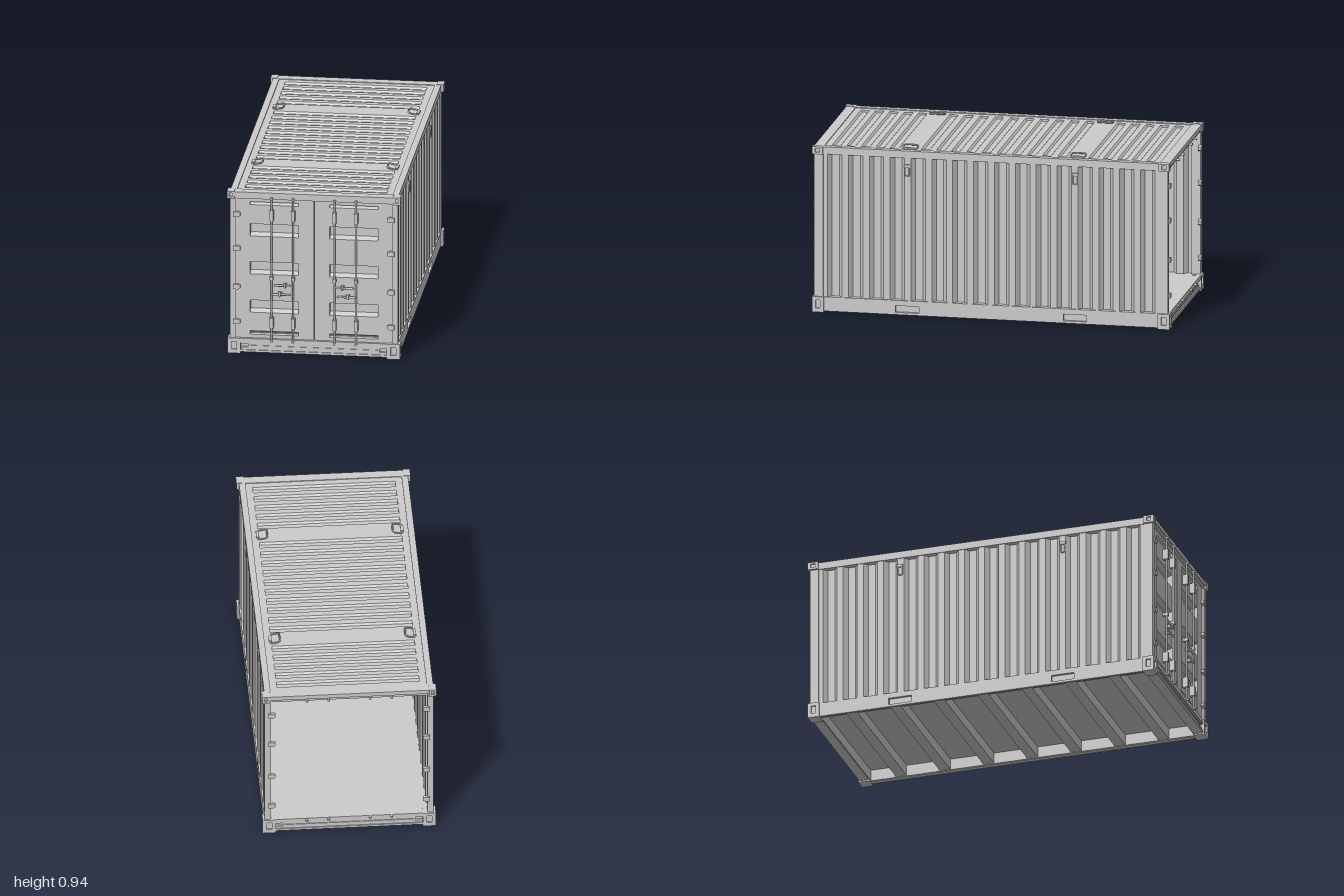
import * as THREE from 'three';

const mat = new THREE.MeshStandardMaterial({ color: 0xcccccc, side: THREE.DoubleSide });
const V = (x, y, z) => new THREE.Vector3(x, y, z);
const X = V(1, 0, 0), Y = V(0, 1, 0), Z = V(0, 0, 1);

function add(parent, name, geo, x = 0, y = 0, z = 0) {
  const m = new THREE.Mesh(geo, mat);
  m.name = name;
  m.position.set(x, y, z);
  parent.add(m);
  return m;
}

// Box given by its limits
function box(parent, name, x0, x1, y0, y1, z0, z1) {
  return add(parent, name, new THREE.BoxGeometry(Math.abs(x1 - x0), Math.abs(y1 - y0), Math.abs(z1 - z0)),
    (x0 + x1) / 2, (y0 + y1) / 2, (z0 + z1) / 2);
}

function rectPath(C, x0, x1, y0, y1) {
  return new C([[x0, y0], [x1, y0], [x1, y1], [x0, y1]].map(p => new THREE.Vector2(...p)));
}

// Flat plate in the xy plane with rectangular holes [x0, x1, y0, y1]
function holedPlate(x0, x1, y0, y1, t, holes) {
  const s = rectPath(THREE.Shape, x0, x1, y0, y1);
  s.holes = holes.map(h => rectPath(THREE.Path, ...h));
  return new THREE.ExtrudeGeometry(s, { depth: t, bevelEnabled: false });
}

// Folded sheet: profile points thickened by t, extruded and turned onto the given axes
function foldedSheet(pts, t, length, ax, ay, az) {
  const s = new THREE.Shape([...pts, ...pts.slice().reverse().map(([u, v]) => [u, v - t])]
    .map(p => new THREE.Vector2(...p)));
  const g = new THREE.ExtrudeGeometry(s, { depth: length, bevelEnabled: false });
  g.translate(0, 0, -length / 2);
  return g.applyMatrix4(new THREE.Matrix4().makeBasis(ax, ay, az));
}

// Corner casting: core with slotted plates on the outer faces
function casting(parent, sx, sz, x0, x1, y0, y1, z0, z1) {
  const g = new THREE.Group(), t = 0.01;
  g.name = 'cornerCasting';
  parent.add(g);
  const w = x1 - x0, d = z1 - z0, h = y1 - y0;
  box(g, 'castingCore', sx * x0, sx * (x1 - t), y0, y1, sz * z0, sz * (z1 - t));
  const face = l => holedPlate(-l / 2, l / 2, 0, h, t, [[-l * 0.2, l * 0.2, h * 0.26, h * 0.78]]);
  add(g, 'castingEnd', face(w), sx * (x0 + x1) / 2, y0, sz > 0 ? z1 - t : -z1);
  add(g, 'castingSide', face(d).rotateY(Math.PI / 2), sx > 0 ? x1 - t : -x1, y0, sz * (z0 + z1) / 2);
}

// Tie ring: closed rounded loop in the xy plane
function ring(w, h, r) {
  const a = w / 2, b = h / 2, c = Math.min(a, b) * 0.35;
  const p = [[a, c - b], [a, b - c], [a - c, b], [c - a, b], [-a, b - c], [-a, c - b], [c - a, -b], [a - c, -b]];
  const path = new THREE.CurvePath();
  p.forEach((q, i) => path.add(new THREE.LineCurve3(V(...q, 0), V(...p[(i + 1) % 8], 0))));
  return new THREE.TubeGeometry(path, 48, r, 6, true);
}

// One long side: pleated wall, rails and rings
function side() {
  const g = new THREE.Group();
  g.name = 'side';
  const n = 16, step = 1.85 / n, pts = [[-0.935, 0.455]];
  for (let i = 0; i < n; i++) {
    const c = (i + 0.5) * step - 0.925;
    pts.push([c - 0.04, 0.455], [c - 0.02, 0.427], [c + 0.02, 0.427], [c + 0.04, 0.455]);
  }
  pts.push([0.935, 0.455]);
  add(g, 'pleatedWall', foldedSheet(pts, 0.005, 0.81, Z, X, Y), 0, 0.485, 0);
  box(g, 'topRail', 0.425, 0.46, 0.885, 0.925, -0.94, 0.94);
  const pockets = [-1, 1].map(s => [s * 0.465 - 0.065, s * 0.465 + 0.065, 0.018, 0.055]);
  add(g, 'bottomRail', holedPlate(-0.94, 0.94, 0.005, 0.085, 0.015, pockets).rotateY(Math.PI / 2), 0.445, 0, 0);
  box(g, 'railBacking', 0.425, 0.445, 0.01, 0.085, -0.94, 0.94);
  for (const z of [-0.465, 0.465]) {
    add(g, 'sideRing', ring(0.024, 0.06, 0.004).rotateY(Math.PI / 2), 0.459, 0.815, z);
    box(g, 'ringLug', 0.45, 0.463, 0.832, 0.848, z - 0.016, z + 0.016);
  }
  return g;
}

// End frame: posts, header, slotted sill, hinges and rod sockets
function endFrame() {
  const g = new THREE.Group();
  g.name = 'endFrame';
  box(g, 'header', -0.44, 0.44, 0.9, 0.924, 0.93, 0.985);
  box(g, 'headerLip', -0.44, 0.44, 0.885, 0.9, 0.93, 0.978);
  add(g, 'sill', holedPlate(-0.41, 0.41, 0.02, 0.06, 0.012, [[-0.405, -0.36, 0.034, 0.054], [0.36, 0.405, 0.034, 0.054]]), 0, 0, 0.966);
  box(g, 'sillCore', -0.41, 0.41, 0.01, 0.085, 0.925, 0.966);
  box(g, 'sillLip', -0.41, 0.41, 0.06, 0.085, 0.966, 0.984);
  box(g, 'sillFoot', -0.41, 0.41, 0.008, 0.02, 0.93, 0.984);
  box(g, 'sillRib', -0.35, 0.35, 0.039, 0.046, 0.97, 0.982);
  for (const s of [-1, 1]) {
    box(g, 'cornerPost', s * 0.427, s * 0.46, 0.08, 0.89, 0.93, 0.98);
    casting(g, s, 1, 0.4, 0.472, 0, 0.086, 0.925, 0.99);
    casting(g, s, 1, 0.435, 0.474, 0.885, 0.927, 0.93, 0.99);
    // hinge leaves taper towards the doors
    const leaf = new THREE.Shape([[0.44, -0.014], [0.44, 0.014], [0.412, 0.014], [0.402, 0.008], [0.402, -0.008], [0.412, -0.014]]
      .map(([x, y]) => new THREE.Vector2(s * x, y)));
    for (const y of [0.18, 0.38, 0.6, 0.795])
      add(g, 'hinge', new THREE.ExtrudeGeometry(leaf, { depth: 0.018, bevelEnabled: false }), 0, y, 0.97);
    for (const x of [0.113, 0.231]) for (const y of [0.077, 0.894])
      add(g, 'rodSocket', new THREE.CylinderGeometry(0.007, 0.007, 0.03, 12).rotateX(Math.PI / 2), s * x, y, 0.985);
  }
  return g;
}

// One door leaf with folded panel, lock rods and handles
function door(s) {
  const g = new THREE.Group();
  g.name = 'door';
  const lim = (a, b) => s > 0 ? [a, b] : [-b, -a];
  add(g, 'doorFrame', holedPlate(...lim(0.001, 0.428), 0.085, 0.885, 0.03, [[...lim(0.085, 0.35), 0.105, 0.865]]), 0, 0, 0.938);
  const out = 0.964, inn = 0.93, pts = [[0.1, inn], [0.108, inn], [0.124, out]];
  for (const y of [0.23, 0.45, 0.667])
    pts.push([y, out], [y + 0.014, inn], [y + 0.062, inn], [y + 0.07, out]);
  pts.push([0.847, out], [0.862, inn], [0.87, inn]);
  add(g, 'foldedPanel', foldedSheet(pts, 0.004, 0.267, Y, Z, X), s * 0.2175, 0, 0);
  for (const x of [0.113, 0.231]) {
    add(g, 'lockRod', new THREE.CylinderGeometry(0.0055, 0.0055, 0.82, 12), s * x, 0.485, 0.984);
    for (const y of [0.18, 0.795]) box(g, 'rodGuide', s * x - 0.01, s * x + 0.01, y - 0.029, y + 0.029, 0.962, 0.994);
    box(g, 'rodClamp', s * x - 0.009, s * x + 0.009, 0.427, 0.443, 0.964, 0.994);
  }
  for (const [a, b, y, c] of [[0.113, 0.218, 0.397, 0.157], [0.231, 0.127, 0.346, 0.186]]) {
    const l = Math.abs(b - a);
    add(g, 'handle', new THREE.CapsuleGeometry(0.006, l - 0.012, 4, 10).rotateZ(Math.PI / 2), s * (a + b) / 2, y, 0.99);
    add(g, 'handleCatch', new THREE.CapsuleGeometry(0.006, 0.02, 4, 10), s * c, y + 0.002, 0.994);
    box(g, 'catchBase', s * c - 0.009, s * c + 0.009, y - 0.008, y + 0.008, 0.964, 0.988);
  }
  return g;
}

export function createModel() {
  const model = new THREE.Group();
  model.name = 'cargoContainer';
  for (const turn of [0, Math.PI]) {
    const a = side(), b = endFrame();
    a.rotation.y = b.rotation.y = turn;
    model.add(a, b);
  }
  model.add(door(1), door(-1));

  // Roof: grooved sheet between flat margins
  const zs = [0.042, 0.126, 0.21, 0.294, 0.378, 0.55, 0.63, 0.71, 0.79, 0.87];
  const grooves = [...zs.map(z => -z).reverse(), ...zs];
  const pts = [[-0.94, 0.92]];
  for (const z of grooves) pts.push([z - 0.024, 0.92], [z - 0.014, 0.909], [z + 0.014, 0.909], [z + 0.024, 0.92]);
  pts.push([0.94, 0.92]);
  add(model, 'roof', foldedSheet(pts, 0.004, 0.78, Z, Y, V(-1, 0, 0)));
  for (const s of [-1, 1]) {
    box(model, 'roofMargin', s * 0.388, s * 0.43, 0.905, 0.92, -0.94, 0.94);
    for (const z of [-0.465, 0.465]) {
      const r = add(model, 'roofRing', ring(0.054, 0.08, 0.005).rotateX(Math.PI / 2), s * 0.368, 0.927, z);
      r.rotation.z = -s * 0.2;
      box(model, 'roofRingLug', s * 0.385, s * 0.401, 0.915, 0.928, z - 0.024, z + 0.024);
    }
  }

  // Floor and cross beams
  box(model, 'floor', -0.435, 0.435, 0.073, 0.085, -0.93, 0.93);
  for (let i = -3; i <= 3; i++)
    box(model, 'crossBeam', -0.43, 0.43, 0.012, 0.074, i * 0.25 - 0.03, i * 0.25 + 0.03);
  return model;
}
